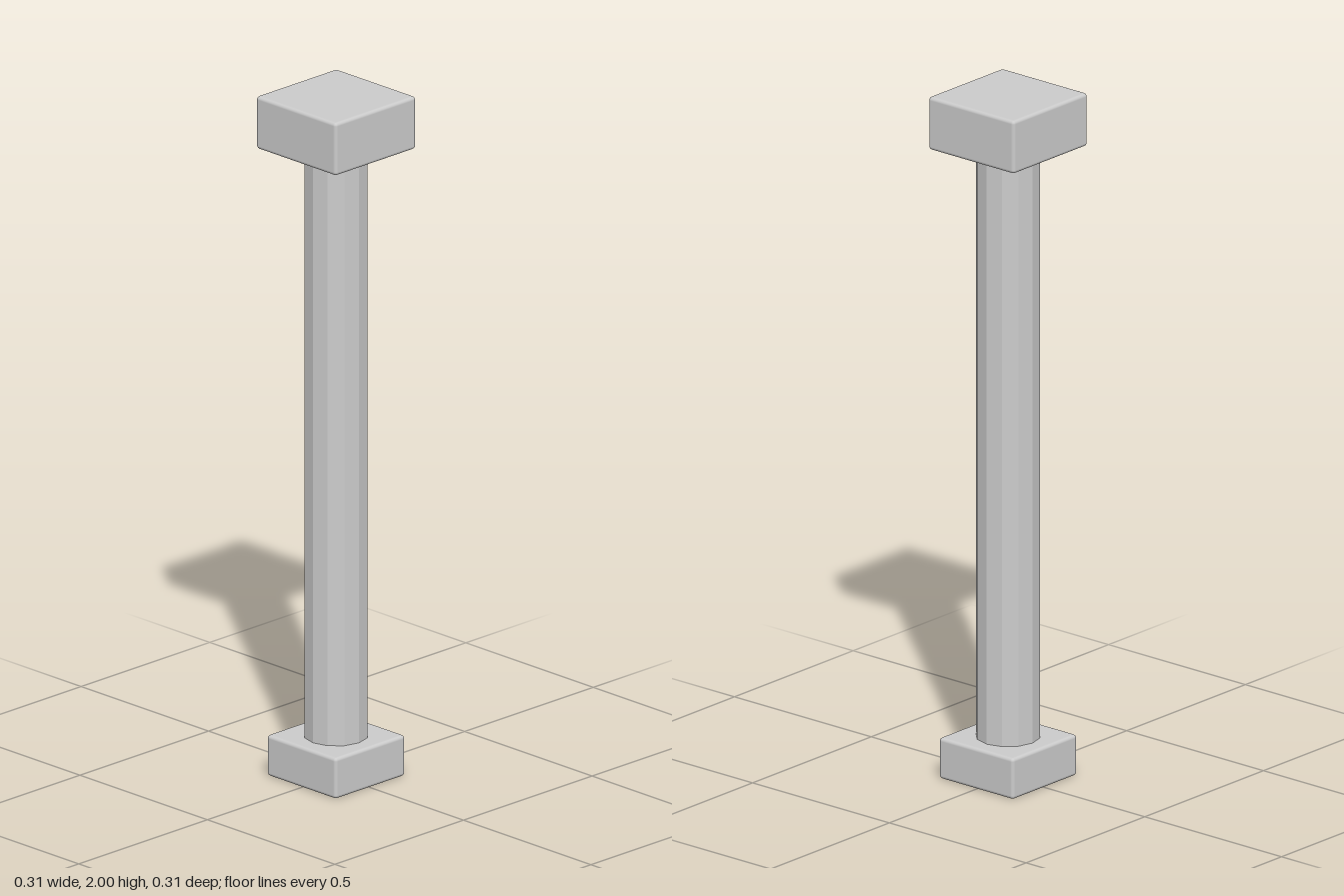
import * as THREE from 'three';
import { RoundedBoxGeometry } from 'three/addons/geometries/RoundedBoxGeometry.js';

export function createModel() {
  const group = new THREE.Group();
  const smooth = new THREE.MeshStandardMaterial({ color: 0xcccccc });
  const faceted = new THREE.MeshStandardMaterial({ color: 0xcccccc, flatShading: true });

  // Places a part between two heights
  const add = (name, geometry, material, bottom, top) => {
    const mesh = new THREE.Mesh(geometry, material);
    mesh.name = name;
    mesh.position.y = (bottom + top) / 2;
    group.add(mesh);
  };

  // Square block with softly bevelled edges
  const block = (name, width, bottom, top) =>
    add(name, new RoundedBoxGeometry(width, top - bottom, width, 2, 0.01), smooth, bottom, top);

  block('base', 0.272, 0, 0.12);
  block('capital', 0.314, 1.845, 2);

  // Twelve-sided shaft, its ends sunk slightly into both blocks
  add('shaft', new THREE.CylinderGeometry(0.09, 0.09, 1.745, 12), faceted, 0.11, 1.855);

  return group;
}
